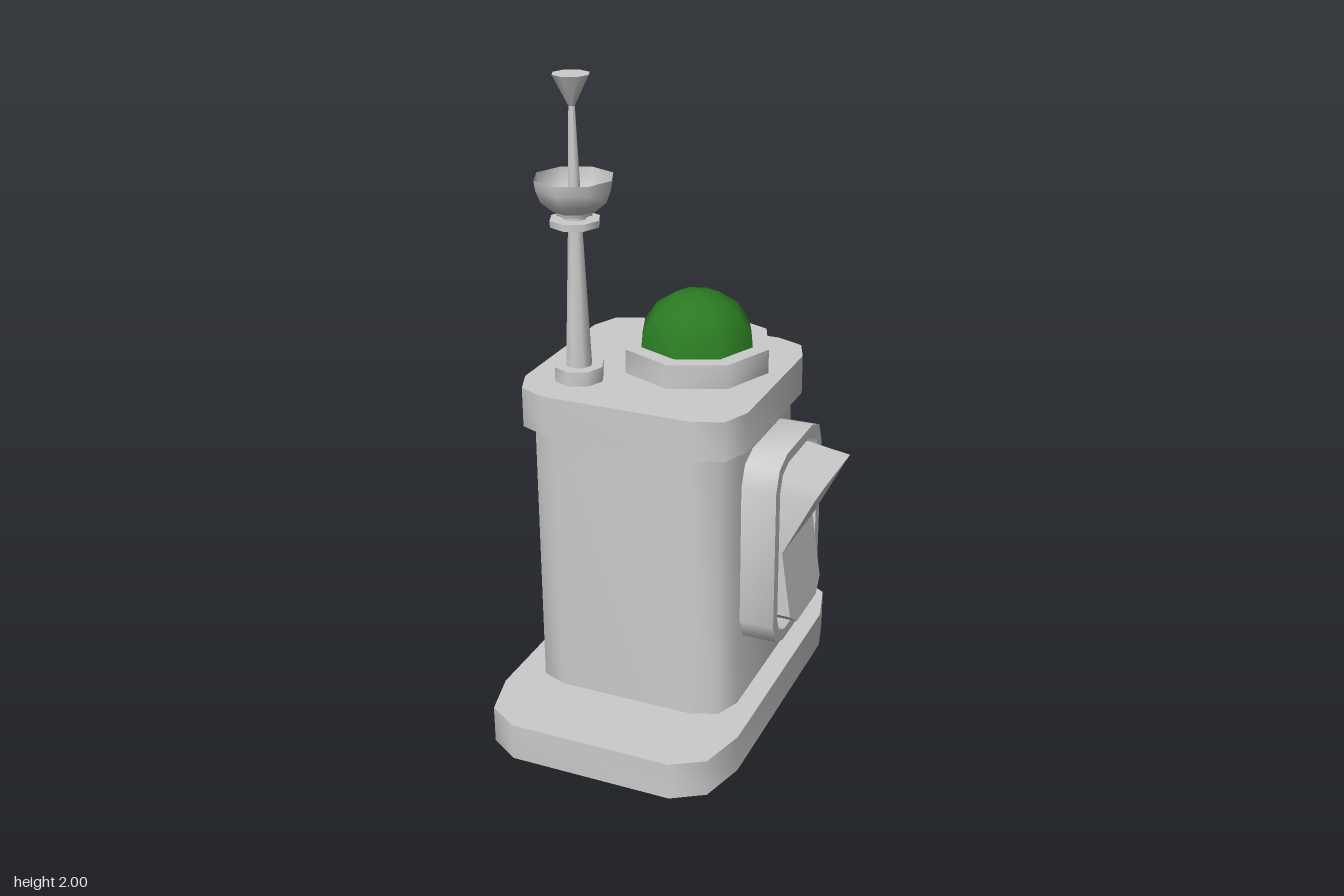
import * as THREE from 'three';
import { toCreasedNormals } from 'three/addons/utils/BufferGeometryUtils.js';

const grey = new THREE.MeshStandardMaterial({ color: 0xcccccc, side: THREE.DoubleSide });
const green = new THREE.MeshStandardMaterial({ color: 0x2a7a22 });

// Corner-cut rectangle with two-step corners: half sizes w, h and corner reach cx, cy
function cornerPoints(w, h, cx, cy) {
  const quarter = [[w, h - cy], [w - cx * 0.29, h - cy * 0.29], [w - cx, h]];
  const mirrored = quarter.map(([x, y]) => [-x, y]).reverse();
  const top = [...quarter, ...mirrored];
  return [...top, ...top.map(([x, y]) => [-x, -y])].map(([x, y]) => new THREE.Vector2(x, y));
}

function block(w, h, cx, cy, depth, hole) {
  const shape = new THREE.Shape(cornerPoints(w, h, cx, cy));
  if (hole) shape.holes.push(new THREE.Path(cornerPoints(...hole).reverse()));
  return new THREE.ExtrudeGeometry(shape, { depth, bevelEnabled: false });
}

function addMesh(parent, name, geometry, x = 0, y = 0, z = 0, material = grey, crease = 0.9) {
  const mesh = new THREE.Mesh(toCreasedNormals(geometry, crease), material);
  mesh.name = name;
  mesh.position.set(x, y, z);
  parent.add(mesh);
  return mesh;
}

// Rocker built from rows of [y at back, y at front, front x, half width]
function rockerGeometry() {
  const rows = [
    [0.37, 0.37, 0.385, 0.09], [0.41, 0.41, 0.38, 0.14], [0.62, 0.62, 0.35, 0.14],
    [0.84, 0.81, 0.445, 0.14], [0.885, 0.85, 0.467, 0.125],
  ];
  const positions = [], index = [];
  for (const [yb, yf, x, w] of rows) {
    positions.push(0.25, yb, w, x, yf, w, x, yf, -w, 0.25, yb, -w);
  }
  for (let r = 0; r < rows.length - 1; r++) {
    for (let k = 0; k < 4; k++) {
      const a = r * 4 + k, b = r * 4 + (k + 1) % 4;
      index.push(a, b, b + 4, a, b + 4, a + 4);
    }
  }
  const t = (rows.length - 1) * 4;
  index.push(0, 2, 1, 0, 3, 2, t, t + 1, t + 2, t, t + 2, t + 3);
  const geometry = new THREE.BufferGeometry();
  geometry.setAttribute('position', new THREE.Float32BufferAttribute(positions, 3));
  geometry.setIndex(index);
  return geometry;
}

export function createModel() {
  const model = new THREE.Group();
  model.name = 'controlPedestal';
  const up = (g) => g.rotateX(-Math.PI / 2);
  const sideways = (g) => g.rotateY(Math.PI / 2);

  // Base, body and cap
  addMesh(model, 'base', up(block(0.39, 0.587, 0.135, 0.205, 0.118)), -0.08);
  addMesh(model, 'body', up(block(0.325, 0.325, 0.11, 0.11, 0.87)), -0.082, 0.115);
  addMesh(model, 'cap', up(block(0.353, 0.355, 0.12, 0.12, 0.122)), -0.082, 0.978);

  // Dome lamp
  addMesh(model, 'domeRing', new THREE.CylinderGeometry(0.23, 0.23, 0.075, 8), -0.008, 1.137, -0.065);
  const dome = new THREE.SphereGeometry(0.185, 8, 4, 0, Math.PI * 2, 0, Math.PI / 2);
  addMesh(model, 'dome', dome, -0.008, 1.145, -0.065, green, 1.2);

  // Antenna with collars, bowl and flared tip
  const antenna = new THREE.Group();
  antenna.name = 'antenna';
  antenna.position.set(-0.28, 0, 0.185);
  model.add(antenna);
  const stages = [
    ['antennaFoot', 0.075, 0.075, 1.1, 1.145],
    ['lowerPole', 0.021, 0.04, 1.145, 1.58],
    ['lowerCollar', 0.075, 0.075, 1.57, 1.59],
    ['collarNeck', 0.035, 0.035, 1.59, 1.605],
    ['upperCollar', 0.06, 0.055, 1.603, 1.62],
    ['upperPole', 0.009, 0.021, 1.61, 1.925],
    ['flaredTip', 0.055, 0.009, 1.91, 2.0],
  ];
  for (const [name, top, bottom, y0, y1] of stages) {
    addMesh(antenna, name, new THREE.CylinderGeometry(top, bottom, y1 - y0, 8), 0, (y0 + y1) / 2);
  }
  const bowlProfile = [[0, 1.615], [0.065, 1.615], [0.1, 1.645], [0.114, 1.68], [0.118, 1.71]];
  addMesh(antenna, 'bowl', new THREE.LatheGeometry(bowlProfile.map((p) => new THREE.Vector2(...p)), 8));

  // Switch housing on the left side: rim, inner step and rocker
  addMesh(model, 'switchRim', sideways(block(0.204, 0.312, 0.09, 0.09, 0.112, [0.17, 0.28, 0.07, 0.07])), 0.238, 0.623);
  addMesh(model, 'switchStep', sideways(block(0.172, 0.282, 0.07, 0.07, 0.07, [0.145, 0.26, 0.055, 0.055])), 0.238, 0.623);
  addMesh(model, 'switchRocker', rockerGeometry(), 0, 0, 0, grey, 0.4);

  // Three wedge louvres on the back
  const wedge = new THREE.Shape([[0, 0], [0.065, 0], [0, 0.085]].map((p) => new THREE.Vector2(...p)));
  for (let i = 0; i < 3; i++) {
    const louvre = new THREE.ExtrudeGeometry(wedge, { depth: 0.36, bevelEnabled: false });
    addMesh(model, 'louvre', sideways(louvre), -0.255, 0.56 + i * 0.109, -0.323);
  }
  return model;
}
